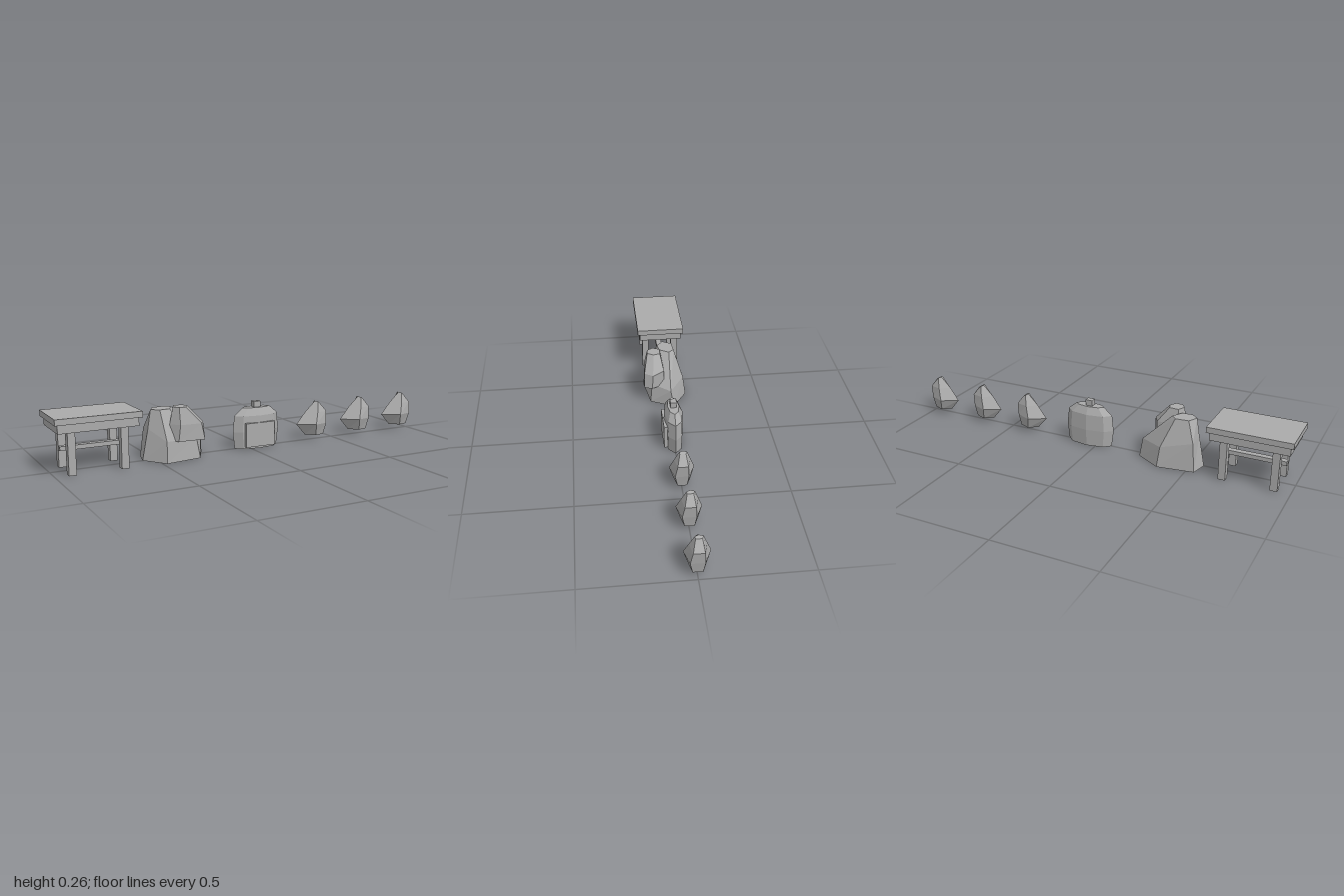
import * as THREE from 'three';

const stone = new THREE.MeshStandardMaterial({ color: 0xaaaaaa, flatShading: true });
stone.name = 'plain grey';

// Closed faceted solid through rings of [x, y, z], each counterclockwise from above
function loft(rings) {
  const pos = [];
  const tri = (a, b, c) => pos.push(...a, ...b, ...c);
  const n = rings[0].length;
  for (let r = 0; r < rings.length - 1; r++) {
    for (let i = 0; i < n; i++) {
      const j = (i + 1) % n;
      tri(rings[r][i], rings[r][j], rings[r + 1][j]);
      tri(rings[r][i], rings[r + 1][j], rings[r + 1][i]);
    }
  }
  const low = rings[0], top = rings[rings.length - 1];
  for (let i = 1; i < n - 1; i++) {
    tri(low[0], low[i + 1], low[i]);
    tri(top[0], top[i], top[i + 1]);
  }
  const g = new THREE.BufferGeometry();
  g.setAttribute('position', new THREE.Float32BufferAttribute(pos, 3));
  g.computeVertexNormals();
  return g;
}

function add(parent, name, geometry) {
  const m = new THREE.Mesh(geometry, stone);
  m.name = name;
  parent.add(m);
  return m;
}

function box(parent, name, w, h, d, x, y, z) {
  add(parent, name, new THREE.BoxGeometry(w, h, d)).position.set(x, y, z);
}

function group(parent, name, x = 0) {
  const g = new THREE.Group();
  g.name = name;
  g.position.x = x;
  parent.add(g);
  return g;
}

// Elliptical ring with a corner at each x end
function ellipse(n, cx, y, cz, rx, rz) {
  return Array.from({ length: n }, (_, i) => {
    const a = Math.PI + (i / n) * Math.PI * 2;
    return [cx + Math.cos(a) * rx, y, cz - Math.sin(a) * rz];
  });
}

export function createModel() {
  const model = new THREE.Group();
  model.name = 'campSet';

  // Table
  const table = group(model, 'table', -0.8);
  box(table, 'tableTop', 0.4, 0.028, 0.25, 0, 0.249, 0);
  box(table, 'tableApron', 0.372, 0.04, 0.226, 0, 0.215, 0);
  for (const sx of [-1, 1]) {
    for (const sz of [-1, 1]) box(table, 'tableLeg', 0.035, 0.195, 0.035, sx * 0.122, 0.0975, sz * 0.08);
  }
  box(table, 'tableStretcher', 0.306, 0.02, 0.03, 0, 0.106, 0);

  // Boulder with a smaller rock leaning on its front
  const rocks = group(model, 'rocks');
  add(rocks, 'boulder', loft([
    [[-0.56, 0, 0], [-0.48, 0, 0.11], [-0.3, 0, 0.083], [-0.24, 0, -0.035], [-0.36, 0, -0.11], [-0.54, 0, -0.085]],
    [[-0.53, 0.15, 0], [-0.475, 0.1, 0.098], [-0.315, 0.1, 0.073], [-0.25, 0.09, -0.02], [-0.37, 0.1, -0.097], [-0.525, 0.14, -0.075]],
    [[-0.515, 0.24, 0], [-0.48, 0.24, 0.03], [-0.43, 0.24, 0.025], [-0.4, 0.24, -0.025], [-0.425, 0.24, -0.052], [-0.49, 0.24, -0.047]],
  ]));
  add(rocks, 'smallRock', loft([
    [[-0.45, 0.097, 0.06], [-0.42, 0.097, 0.108], [-0.29, 0.097, 0.117], [-0.275, 0.097, 0.075], [-0.31, 0.097, 0.01], [-0.42, 0.097, 0.005]],
    [[-0.445, 0.175, 0.06], [-0.41, 0.175, 0.108], [-0.305, 0.175, 0.113], [-0.278, 0.172, 0.07], [-0.31, 0.18, 0.01], [-0.42, 0.18, 0.01]],
    [[-0.428, 0.255, 0.06], [-0.408, 0.255, 0.09], [-0.375, 0.255, 0.092], [-0.355, 0.255, 0.06], [-0.365, 0.255, 0.026], [-0.41, 0.255, 0.024]],
  ]));

  // Flat pouch with front pocket and cap
  const pouch = group(model, 'pouch', 0.045);
  add(pouch, 'pouchBody', loft([
    [0, 0.92], [0.085, 1], [0.165, 0.93], [0.203, 0.58],
  ].map(([y, s]) => ellipse(8, 0, y, 0, 0.129 * s, 0.049 * s))));
  box(pouch, 'pouchPocket', 0.158, 0.12, 0.025, 0, 0.071, 0.04);
  box(pouch, 'pouchCap', 0.036, 0.034, 0.03, 0, 0.215, 0);

  // Three identical leaning five-sided stones
  const pebble = loft([
    [[-0.03, 0.025, -0.008], [0.013, 0.025, 0.033], [0.063, 0.025, 0.022], [0.065, 0.025, -0.022], [0.013, 0.025, -0.043]],
    [[-0.08, 0.083, -0.012], [0, 0.086, 0.055], [0.074, 0.085, 0.034], [0.075, 0.085, -0.03], [0, 0.084, -0.062]],
    [[-0.03, 0.145, -0.008], [0.021, 0.145, 0.034], [0.08, 0.145, 0.023], [0.081, 0.145, -0.026], [0.021, 0.145, -0.042]],
    [[0.027, 0.198, -0.006], [0.034, 0.197, 0.012], [0.044, 0.192, 0.01], [0.045, 0.192, -0.018], [0.034, 0.197, -0.024]],
  ]);
  for (let i = 0; i < 3; i++) add(model, 'pebble', pebble).position.x = 0.372 + i * 0.273;

  return model;
}
